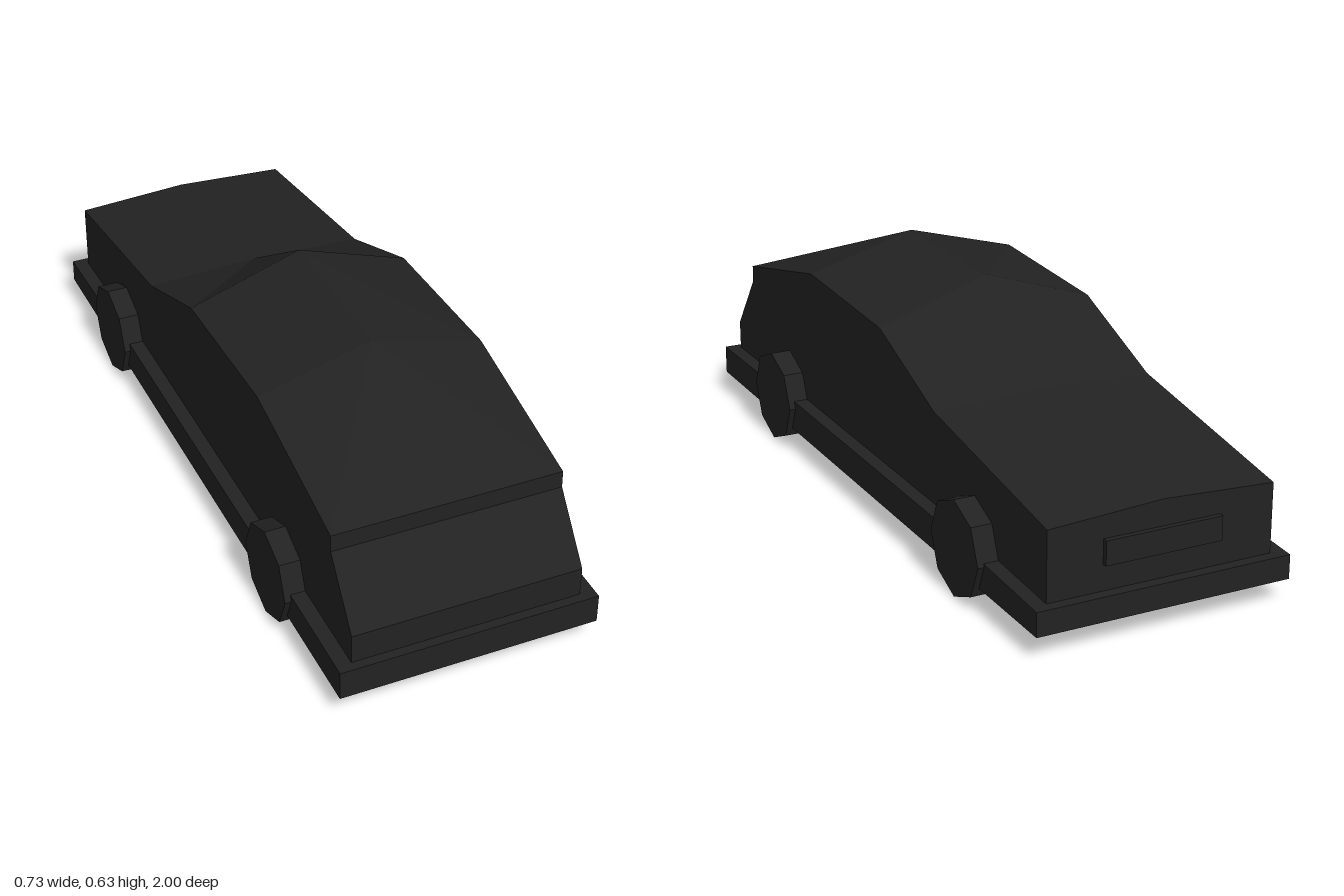
import * as THREE from 'three';

// Lofts a closed flat-shaded hull through sections [z, edgeY, ridgeY], ordered front to back.
function loft(sections, halfWidth, bottom) {
  const rings = sections.map(([z, edge, ridge]) => [
    [-halfWidth, bottom, z], [-halfWidth, edge, z], [0, ridge, z],
    [halfWidth, edge, z], [halfWidth, bottom, z],
  ]);
  const pos = [];
  const tri = (a, b, c) => pos.push(...a, ...b, ...c);
  for (let i = 0; i < rings.length - 1; i++) {
    const a = rings[i], b = rings[i + 1];
    for (let j = 0; j < 5; j++) {
      const k = (j + 1) % 5;
      if (j === 2) { // mirror the diagonal on the left half
        tri(a[j], a[k], b[j]);
        tri(a[k], b[k], b[j]);
      } else {
        tri(a[j], a[k], b[k]);
        tri(a[j], b[k], b[j]);
      }
    }
  }
  const first = rings[0], last = rings[rings.length - 1];
  for (let k = 1; k < 4; k++) {
    tri(first[0], first[k + 1], first[k]);
    tri(last[0], last[k], last[k + 1]);
  }
  const geometry = new THREE.BufferGeometry();
  geometry.setAttribute('position', new THREE.Float32BufferAttribute(pos, 3));
  geometry.computeVertexNormals();
  return geometry;
}

export function createModel() {
  const model = new THREE.Group();
  model.name = 'car';
  const paint = new THREE.MeshStandardMaterial({ color: 0x222222, flatShading: true });
  paint.name = 'charcoal';

  const add = (name, geometry, x = 0, y = 0, z = 0) => {
    const mesh = new THREE.Mesh(geometry, paint);
    mesh.name = name;
    mesh.position.set(x, y, z);
    model.add(mesh);
    return mesh;
  };

  // Body with ridged roof
  add('body', loft([
    [0.975, 0.225, 0.225],
    [0.85, 0.39, 0.39],
    [0.849, 0.437, 0.437],
    [0.40, 0.54, 0.626],
    [-0.06, 0.522, 0.626],
    [-0.38, 0.40, 0.413],
    [-0.972, 0.315, 0.332],
  ], 0.31, 0.1));

  // Wide skirt and bumpers around the base
  add('skirt', loft([
    [1, 0.143, 0.143],
    [0.45, 0.15, 0.15],
    [-0.45, 0.15, 0.15],
    [-1, 0.127, 0.127],
  ], 0.35, 0.062));

  // Rear plate
  add('rearPlate', new THREE.BoxGeometry(0.32, 0.065, 0.02), 0, 0.23, -0.976);

  // Octagonal wheels
  const wheel = new THREE.CylinderGeometry(0.13, 0.13, 0.06, 8).rotateZ(Math.PI / 2);
  for (const [end, z] of [['front', 0.575], ['rear', -0.605]]) {
    for (const [side, s] of [['Left', 1], ['Right', -1]]) {
      add(end + side + 'Wheel', wheel, s * 0.337, 0.13, z);
    }
  }
  return model;
}
